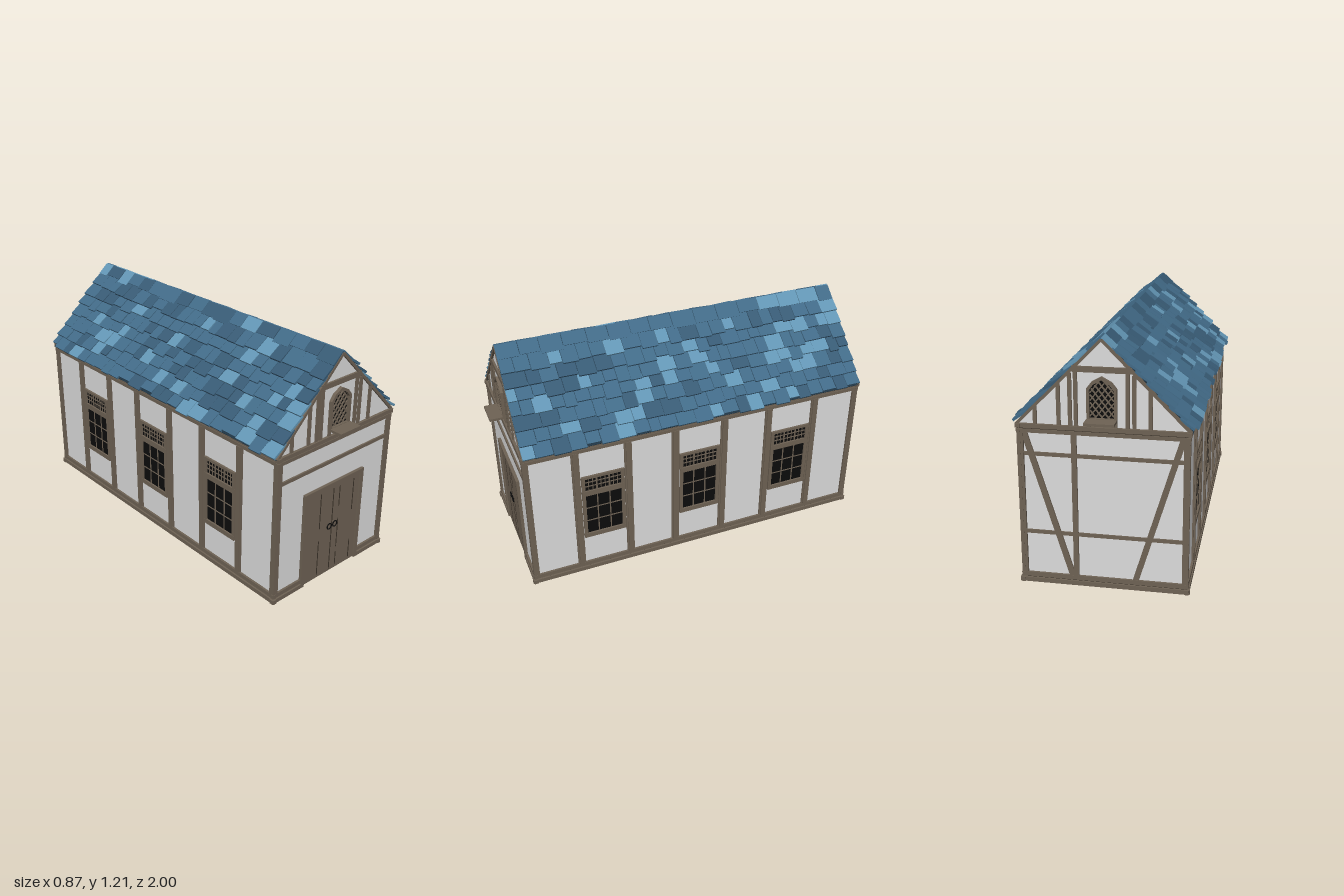
import * as THREE from 'three';
import { mergeGeometries } from 'three/addons/utils/BufferGeometryUtils.js';

const mat = (name, color, extra = {}) => Object.assign(new THREE.MeshStandardMaterial({ color, ...extra }), { name });

export function createModel() {
  const plaster = mat('plaster', 0xdcdcdc, { side: THREE.DoubleSide });
  const wood = mat('wood', 0x6e6254);
  const groove = mat('dark wood', 0x3a3229);
  const black = mat('black', 0x0c0c0c, { side: THREE.DoubleSide });
  const deck = mat('roof deck', 0x1f3443, { side: THREE.DoubleSide });
  const slates = [mat('slate blue', 0x426b88), mat('light slate', 0x6396b5), mat('deep slate', 0x385b75)];

  const model = new THREE.Group();
  model.name = 'house';
  const D = 0.916, W = 0.386, EAVE = 0.79, APEX = 1.195;

  const add = (parent, name, geo, material) => {
    const m = new THREE.Mesh(geo, material);
    m.name = name;
    parent.add(m);
    return m;
  };
  // Box given by its limits
  const box = (p, name, m, x0, x1, y0, y1, z0, z1) => {
    const g = new THREE.BoxGeometry(x1 - x0, y1 - y0, z1 - z0);
    g.translate((x0 + x1) / 2, (y0 + y1) / 2, (z0 + z1) / 2);
    return add(p, name, g, m);
  };
  // Slanted timber between two points of a wall
  const beam = (p, name, m, x0, y0, x1, y1, w, z0, z1) => {
    const g = new THREE.BoxGeometry(Math.hypot(x1 - x0, y1 - y0), w, z1 - z0);
    g.rotateZ(Math.atan2(y1 - y0, x1 - x0));
    g.translate((x0 + x1) / 2, (y0 + y1) / 2, (z0 + z1) / 2);
    return add(p, name, g, m);
  };
  const poly = (pts) => new THREE.Shape(pts.map(([x, y]) => new THREE.Vector2(x, y)));

  // Plaster end wall, stepped sill and head beams, corner posts; all faces +z
  function wall(name, half, z, door) {
    const g = new THREE.Group();
    g.name = name;
    box(g, 'plasterPanel', plaster, -half, half, 0.005, EAVE, z - 0.015, z);
    const spans = door ? [[-half, -0.2], [0.2, half]] : [[-half, half]];
    for (const [a, b] of spans) {
      const l = a === -half ? 1 : 0, r = b === half ? 1 : 0;
      box(g, 'lowerSill', wood, a - 0.02 * l, b + 0.02 * r, 0, 0.022, z - 0.005, z + 0.016);
      box(g, 'upperSill', wood, a - 0.014 * l, b + 0.014 * r, 0.026, 0.048, z - 0.005, z + 0.011);
      box(g, 'sillGap', groove, a - 0.008 * l, b + 0.008 * r, 0.02, 0.028, z - 0.005, z + 0.007);
    }
    box(g, 'headBeam', wood, -half - 0.014, half + 0.014, 0.752, 0.77, z - 0.005, z + 0.011);
    box(g, 'headGap', groove, -half - 0.008, half + 0.008, 0.769, 0.776, z - 0.005, z + 0.007);
    box(g, 'wallPlate', wood, -half - 0.018, half + 0.018, 0.775, 0.795, z - 0.005, z + 0.014);
    for (const s of [-1, 1]) {
      const x = s * (half - 0.003);
      box(g, 'cornerPost', wood, x - 0.015, x + 0.015, 0.045, 0.755, z - 0.005, z + 0.011);
    }
    model.add(g);
    return g;
  }

  // Gable with studs, collar beam, rafters and an arched lattice window
  function gable(p) {
    const z = D;
    const g = new THREE.Group();
    g.name = 'gable';
    p.add(g);
    const tri = new THREE.ExtrudeGeometry(poly([[-0.4, EAVE], [0.4, EAVE], [0, APEX]]), { depth: 0.012, bevelEnabled: false });
    add(g, 'gablePanel', tri.translate(0, 0, z - 0.012), plaster);
    for (const [x, top] of [[-0.31, 0.88], [-0.2, 0.99], [-0.147, 1.04], [-0.12, 1.05], [0.115, 1.05], [0.145, 1.04], [0.218, 0.975]])
      box(g, 'gableStud', wood, x - 0.009, x + 0.009, EAVE, top, z - 0.003, z + 0.008);
    box(g, 'collarBeam', wood, -0.135, 0.135, 1.047, 1.073, z - 0.003, z + 0.011);
    for (const s of [-1, 1]) {
      beam(g, 'rafter', wood, s * 0.4, EAVE, 0, APEX, 0.014, z - 0.003, z + 0.01);
      box(g, 'windowProp', wood, s * 0.06 - 0.008, s * 0.06 + 0.008, EAVE, 0.83, z - 0.003, z + 0.008);
    }
    const arch = (w, y0, y1, y2) => poly([[-w, y0], [w, y0], [w, y1], [w * 0.66, y1 + (y2 - y1) * 0.55], [0, y2],
      [-w * 0.66, y1 + (y2 - y1) * 0.55], [-w, y1]]);
    const frame = arch(0.069, 0.828, 0.975, 1.03);
    frame.holes.push(arch(0.056, 0.838, 0.968, 1.015));
    add(g, 'archFrame', new THREE.ExtrudeGeometry(frame, { depth: 0.035, bevelEnabled: false }).translate(0, 0, z - 0.018), wood);
    const pane = new THREE.ShapeGeometry(arch(0.058, 0.835, 0.968, 1.017));
    add(g, 'archGlass', pane.translate(0, 0, z + 0.003), black);
    // Diagonal glazing bars clipped to the arch
    const inside = (x, y) => y > 0.838 && y < 1.013 && Math.abs(x) < (y < 0.968 ? 0.056 : 0.056 * (1 - ((y - 0.968) / 0.047) ** 1.3));
    for (const s of [-1, 1]) for (let c = 0.77; c < 1.08; c += 0.036) {
      const ok = [];
      for (let x = -0.056; x <= 0.056; x += 0.002) if (inside(x, c + s * x * 1.25)) ok.push(x);
      if (ok.length < 4) continue;
      const a = ok[0], b = ok[ok.length - 1];
      beam(g, 'latticeBar', wood, a, c + s * a * 1.25, b, c + s * b * 1.25, 0.006, z + 0.003, z + 0.009);
    }
    box(g, 'windowLedge', wood, -0.069, 0.069, 0.824, 0.836, z, 1);
  }

  // Front wall with the double door
  const front = wall('frontWall', W, D, true);
  gable(front);
  box(front, 'frontRail', wood, -W, W, 0.642, 0.66, D - 0.003, D + 0.009);
  box(front, 'doorLeaves', wood, -0.19, 0.19, 0.003, 0.51, D - 0.03, D + 0.008);
  for (const s of [-1, 1])
    box(front, 'doorJamb', wood, Math.min(s * 0.21, s * 0.188), Math.max(s * 0.21, s * 0.188), 0, 0.53, D - 0.02, D + 0.016);
  box(front, 'doorHead', wood, -0.19, 0.19, 0.508, 0.53, D - 0.02, D + 0.016);
  for (const [x, y0, y1] of [[0, 0.01, 0.49], [-0.09, 0.29, 0.49], [-0.09, 0.02, 0.22], [0.045, 0.37, 0.49], [0.045, 0.13, 0.3],
    [0.045, 0.02, 0.1], [0.147, 0.31, 0.49], [0.147, 0.02, 0.13]])
    box(front, 'plankGroove', groove, x - 0.0025, x + 0.0025, y0, y1, D + 0.004, D + 0.0095);
  for (const x of [-0.02, 0.02])
    add(front, 'doorRing', new THREE.TorusGeometry(0.015, 0.003, 6, 16).translate(x, 0.28, D + 0.012), black);

  // Back wall with braces
  const back = wall('backWall', W, D, false);
  gable(back);
  back.rotation.y = Math.PI;
  box(back, 'backStud', wood, -0.145, -0.12, 0.045, 0.755, D - 0.003, D + 0.01);
  for (const y of [0.65, 0.26]) box(back, 'backRail', wood, -W, W, y - 0.009, y + 0.009, D - 0.003, D + 0.007);
  for (const s of [-1, 1]) beam(back, 'brace', wood, s * 0.365, 0.755, s * 0.15, 0.045, 0.028, D - 0.003, D + 0.009);

  // Mullioned side window
  function sideWindow(p, cx) {
    const g = new THREE.Group(), z = W;
    g.name = 'sideWindow';
    g.position.x = cx;
    p.add(g);
    box(g, 'glass', black, -0.1, 0.1, 0.23, 0.59, z - 0.02, z + 0.003);
    for (const s of [-1, 1]) box(g, 'frameSide', wood, s * 0.104 - 0.009, s * 0.104 + 0.009, 0.215, 0.6, z - 0.024, z + 0.011);
    for (const [a, b] of [[0.215, 0.24], [0.482, 0.512], [0.586, 0.6]])
      box(g, 'frameRail', wood, -0.113, 0.113, a, b, z - 0.024, z + 0.012);
    const bars = (x, y0, y1, w) => box(g, 'glazingBar', wood, x - w, x + w, y0, y1, z - 0.022, z + 0.006);
    for (const x of [-0.033, 0.033]) { bars(x, 0.24, 0.482, 0.003); bars(x, 0.512, 0.586, 0.004); }
    for (const x of [-0.076, -0.054, -0.011, 0.011, 0.054, 0.076]) bars(x, 0.512, 0.586, 0.0018);
    for (const y of [0.32, 0.4, 0.537, 0.562]) box(g, 'glazingBar', wood, -0.096, 0.096, y - 0.0025, y + 0.0025, z - 0.022, z + 0.006);
  }

  // Long walls with posts and three windows each
  for (const s of [1, -1]) {
    const side = wall(s > 0 ? 'leftWall' : 'rightWall', D, W, false);
    side.rotation.y = s * Math.PI / 2;
    for (const x of [-0.667, -0.393, -0.137, 0.137, 0.393, 0.667]) {
      box(side, 'sidePost', wood, x - 0.02, x + 0.02, 0.045, 0.755, W - 0.003, W + 0.008);
      box(side, 'sidePostFace', wood, x - 0.012, x + 0.012, 0.045, 0.755, W - 0.003, W + 0.014);
    }
    for (const x of [-0.53, 0, 0.53]) sideWindow(side, x);
  }

  // Roof: deck plus overlapping rows of uneven slates
  let seed = 7;
  const rnd = () => (seed = (seed * 16807) % 2147483647) / 2147483647;
  const angle = Math.atan2(APEX - EAVE, 0.4), len = Math.hypot(0.4, APEX - EAVE);
  const roof = new THREE.Group(), sets = [[], [], []], decks = [];
  roof.name = 'roof';
  const place = (g, s) => {
    g.rotateZ(-angle).translate(0, APEX, 0);
    return s < 0 ? g.rotateY(Math.PI) : g;
  };
  const ROWS = 8, step = len / ROWS, END = 0.925;
  for (const s of [1, -1]) {
    decks.push(place(new THREE.BoxGeometry(len + 0.01, 0.006, 2 * END - 0.01).translate(len / 2, 0.001, 0), s));
    for (let r = 0; r < ROWS; r++) {
      let z = -END;
      while (z < END - 0.001) {
        let w = (r === 0 ? 0.085 : 0.055) + rnd() * 0.045;
        if (END - z - w < 0.04) w = END - z;
        const l = step * (r === 0 ? 1.08 : 1.28) + (rnd() - 0.5) * 0.022;
        const t = new THREE.BoxGeometry(l, 0.011, w - 0.003);
        t.translate(l / 2, 0.0055, 0).rotateX((rnd() - 0.5) * 0.08);
        t.rotateZ(r === 0 ? 0.07 : 0.15 + rnd() * 0.07);
        t.translate(r === 0 ? -0.005 : r * step - step * 0.15, 0.002, z + w / 2);
        const pick = rnd();
        sets[pick < 0.6 ? 0 : pick < 0.8 ? 1 : 2].push(place(t, s));
        z += w;
      }
    }
  }
  add(roof, 'roofDeck', mergeGeometries(decks), deck);
  sets.forEach((list, i) => add(roof, 'roofSlates', mergeGeometries(list), slates[i]));
  model.add(roof);
  return model;
}
